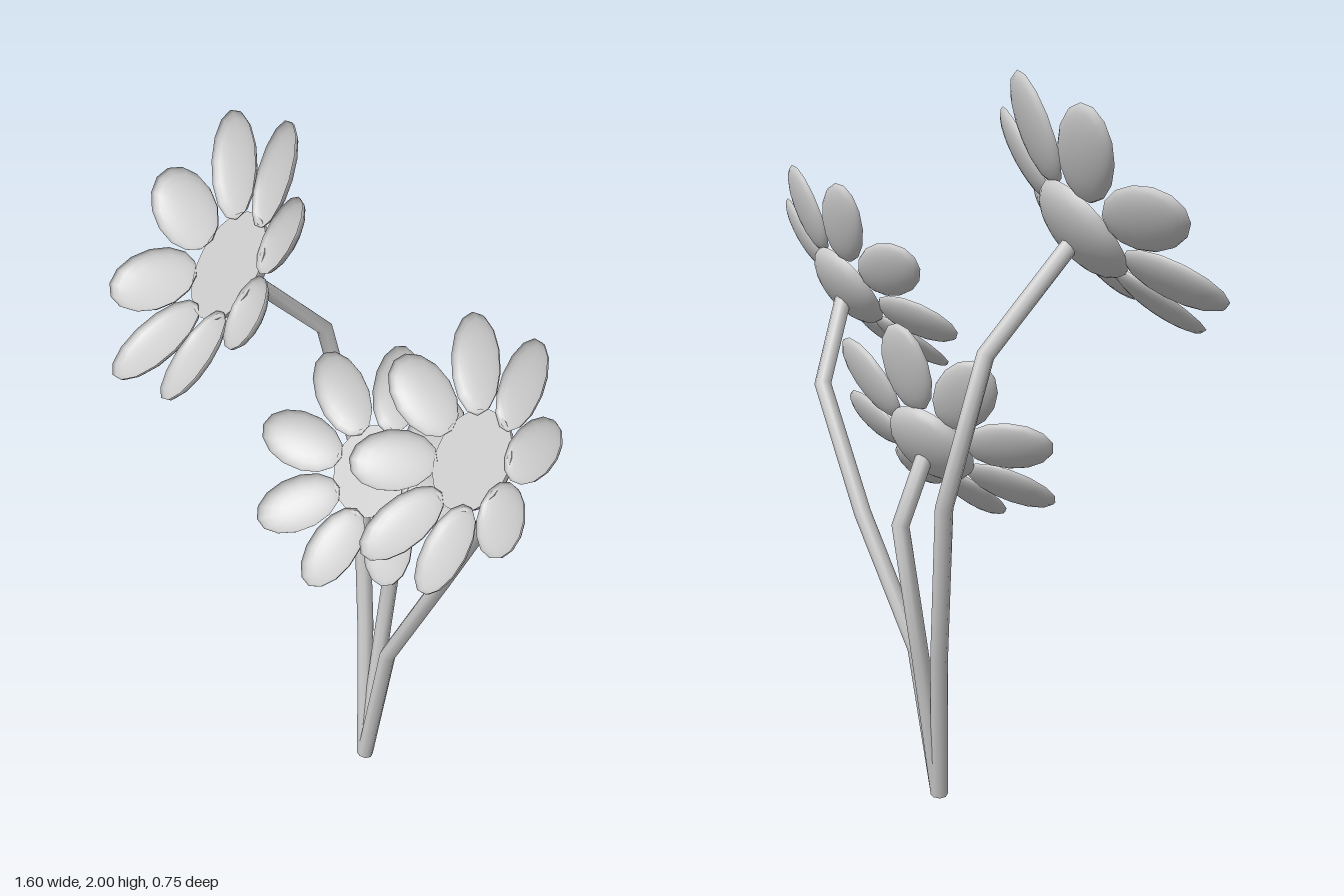
import * as THREE from 'three';

const V = (a) => new THREE.Vector3(...a);
const material = new THREE.MeshStandardMaterial({ color: 0xcccccc });
const thin = new THREE.MeshStandardMaterial({ color: 0xcccccc, side: THREE.DoubleSide });

// Bent path whose rings sit exactly on the listed points, mitred at each bend
class Polyline extends THREE.Curve {
  constructor(points) {
    super();
    this.points = points;
  }
  getPointAt(u, target = new THREE.Vector3()) {
    return target.copy(this.points[Math.round(u * (this.points.length - 1))]);
  }
  getTangentAt(u, target = new THREE.Vector3()) {
    const p = this.points, n = p.length - 1, i = Math.round(u * n);
    target.set(0, 0, 0);
    if (i > 0) target.add(p[i].clone().sub(p[i - 1]).normalize());
    if (i < n) target.add(p[i + 1].clone().sub(p[i]).normalize());
    return target.normalize();
  }
}

const STEM_RADIUS = 0.024;
const DISC_RADIUS = 0.134;
const PETALS = 8;

// Shallow cupped petal, long along x, hollow side up
const petalGeometry = new THREE.SphereGeometry(1, 14, 6, 0, Math.PI * 2, Math.PI / 2, Math.PI / 2);
petalGeometry.scale(0.13, 0.03, 0.083);

// Flower centre: flat face with a rounded back
const faceGeometry = new THREE.CircleGeometry(DISC_RADIUS, 24).rotateX(-Math.PI / 2);
const backGeometry = new THREE.SphereGeometry(DISC_RADIUS, 24, 6, 0, Math.PI * 2, Math.PI / 2, Math.PI / 2);
backGeometry.scale(1, 0.45, 1);

function addMesh(parent, name, geometry, mat = material) {
  const mesh = new THREE.Mesh(geometry, mat);
  mesh.name = name;
  parent.add(mesh);
  return mesh;
}

// Flower facing along its normal, first petal pointing towards 'first'
function makeBloom({ centre, normal, first, scale }) {
  const bloom = new THREE.Group();
  bloom.name = 'bloom';
  addMesh(bloom, 'flowerFace', faceGeometry);
  addMesh(bloom, 'flowerBack', backGeometry);
  for (let i = 0; i < PETALS; i++) {
    const spoke = new THREE.Group();
    spoke.name = 'petalSpoke';
    spoke.rotation.y = (i * Math.PI * 2) / PETALS;
    const petal = addMesh(spoke, 'petal', petalGeometry, thin);
    petal.position.set(0.239, 0.043, 0);
    petal.rotation.z = 0.3;
    bloom.add(spoke);
  }
  const y = V(normal).normalize();
  const z = V(first).cross(y).normalize();
  const x = y.clone().cross(z);
  bloom.quaternion.setFromRotationMatrix(new THREE.Matrix4().makeBasis(x, y, z));
  bloom.position.copy(V(centre));
  bloom.scale.setScalar(scale);
  return bloom;
}

function makeStem(points) {
  const stem = new THREE.Group();
  stem.name = 'stem';
  const path = new Polyline(points.map(V));
  addMesh(stem, 'stalk', new THREE.TubeGeometry(path, points.length - 1, STEM_RADIUS, 8, false));
  // Cut end at the foot
  const end = addMesh(stem, 'stalkEnd', new THREE.CircleGeometry(STEM_RADIUS, 8), thin);
  end.rotation.x = Math.PI / 2;
  end.position.copy(V(points[0]));
  return stem;
}

const FOOT = [-0.065, 0.003, -0.18];
const FLOWERS = [
  {
    name: 'tallFlower',
    centre: [-0.4, 1.6, 0.015], normal: [-0.33, 0.58, 0.74], first: [0.15, 0.34, -0.2], scale: 1.18,
    stem: [FOOT, [-0.125, 0.43, -0.245], [-0.24, 0.9, -0.35], [-0.345, 1.31, -0.31], [-0.388, 1.56, -0.03]],
  },
  {
    name: 'leftFlower',
    centre: [0.475, 1.345, 0.04], normal: [-0.25, 0.56, 0.79], first: [0.15, 0.292, -0.155], scale: 1.01,
    stem: [FOOT, [0.02, 0.41, -0.18], [0.22, 0.76, -0.18], [0.42, 1.09, -0.13], [0.47, 1.32, 0.01]],
  },
  {
    name: 'lowFlower',
    centre: [-0.045, 1.01, -0.18], normal: [0, 0.56, 0.83], first: [0, 0.83, -0.56], scale: 0.99,
    stem: [FOOT, [-0.06, 0.43, -0.25], [-0.057, 0.81, -0.32], [-0.046, 0.99, -0.205]],
  },
];

export function createModel() {
  const model = new THREE.Group();
  model.name = 'flowerBunch';
  for (const spec of FLOWERS) {
    const flower = new THREE.Group();
    flower.name = spec.name;
    flower.add(makeStem(spec.stem), makeBloom(spec));
    model.add(flower);
  }
  return model;
}
